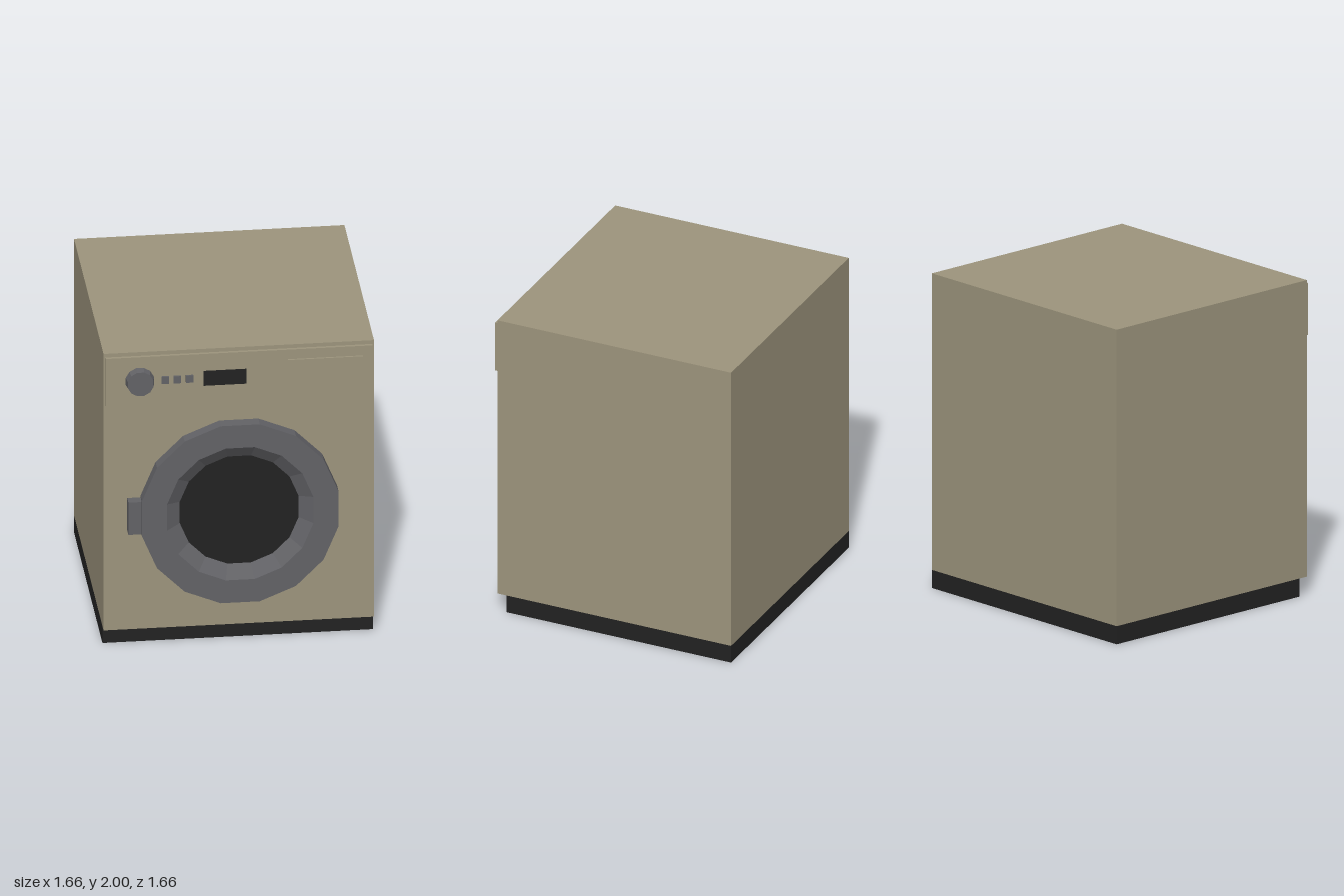
import * as THREE from 'three';

export function createModel() {
  const model = new THREE.Group();
  const beige = new THREE.MeshStandardMaterial({ color: 0x9c947c, flatShading: true });
  const grey = new THREE.MeshStandardMaterial({ color: 0x626266, flatShading: true });
  const black = new THREE.MeshStandardMaterial({ color: 0x222222, flatShading: true, side: THREE.DoubleSide });
  beige.name = 'beige enamel';
  grey.name = 'grey plastic';
  black.name = 'black';

  const add = (name, geometry, material) => {
    const mesh = new THREE.Mesh(geometry, material);
    mesh.name = name;
    model.add(mesh);
    return mesh;
  };
  // Box given by its limits on each axis
  const box = (name, material, x0, x1, y0, y1, z0, z1) =>
    add(name, new THREE.BoxGeometry(x1 - x0, y1 - y0, z1 - z0), material)
      .position.set((x0 + x1) / 2, (y0 + y1) / 2, (z0 + z1) / 2);

  // Cabinet
  box('cabinet', beige, -0.83, 0.83, 0.115, 2, -0.83, 0.75);

  // Plinth: four thin walls, open underneath
  const plinthWall = (name, width, x, z, turn) => {
    const wall = add(name, new THREE.PlaneGeometry(width, 0.115), black);
    wall.position.set(x, 0.0575, z);
    wall.rotation.y = turn;
  };
  plinthWall('plinthFront', 1.66, 0, 0.69, 0);
  plinthWall('plinthBack', 1.66, 0, -0.83, Math.PI);
  for (const s of [-1, 1]) {
    plinthWall(s > 0 ? 'plinthLeft' : 'plinthRight', 1.52, s * 0.83, -0.07, s * Math.PI / 2);
  }

  // Control panel with drawer, display and buttons
  box('controlPanel', beige, -0.82, 0.82, 1.645, 1.975, 0.75, 0.77);
  box('detergentDrawer', beige, 0.3, 0.76, 1.715, 1.91, 0.77, 0.782);
  box('display', black, -0.22, 0.045, 1.76, 1.86, 0.768, 0.774);
  for (let i = 0; i < 3; i++) {
    const x = -0.455 + i * 0.075;
    box('button' + (i + 1), grey, x - 0.023, x + 0.023, 1.79, 1.838, 0.77, 0.782);
  }

  // Tapered programme knob
  const knob = add('programKnob',
    new THREE.CylinderGeometry(0.082, 0.09, 0.05, 12, 1, false, Math.PI / 12), grey);
  knob.rotation.x = Math.PI / 2;
  knob.position.set(-0.61, 1.815, 0.795);

  // Door ring: outer rim, flat face and sloping funnel down to the glass
  const sides = 16;
  const half = Math.PI / sides;
  const profile = [[0.615, 0], [0.615, 0.08], [0.458, 0.08], [0.372, 0.02]]
    .map(([r, h]) => new THREE.Vector2(r, h));
  const ring = add('doorRing', new THREE.LatheGeometry(profile, sides, half), grey);
  ring.rotation.x = Math.PI / 2;
  ring.position.set(0, 0.903, 0.75);

  // Door glass
  const glass = add('doorGlass', new THREE.CircleGeometry(0.374, sides, half), black);
  glass.position.set(0, 0.903, 0.77);

  // Door handle
  box('doorHandle', grey, -0.685, -0.6, 0.79, 1.01, 0.75, 0.815);

  return model;
}
